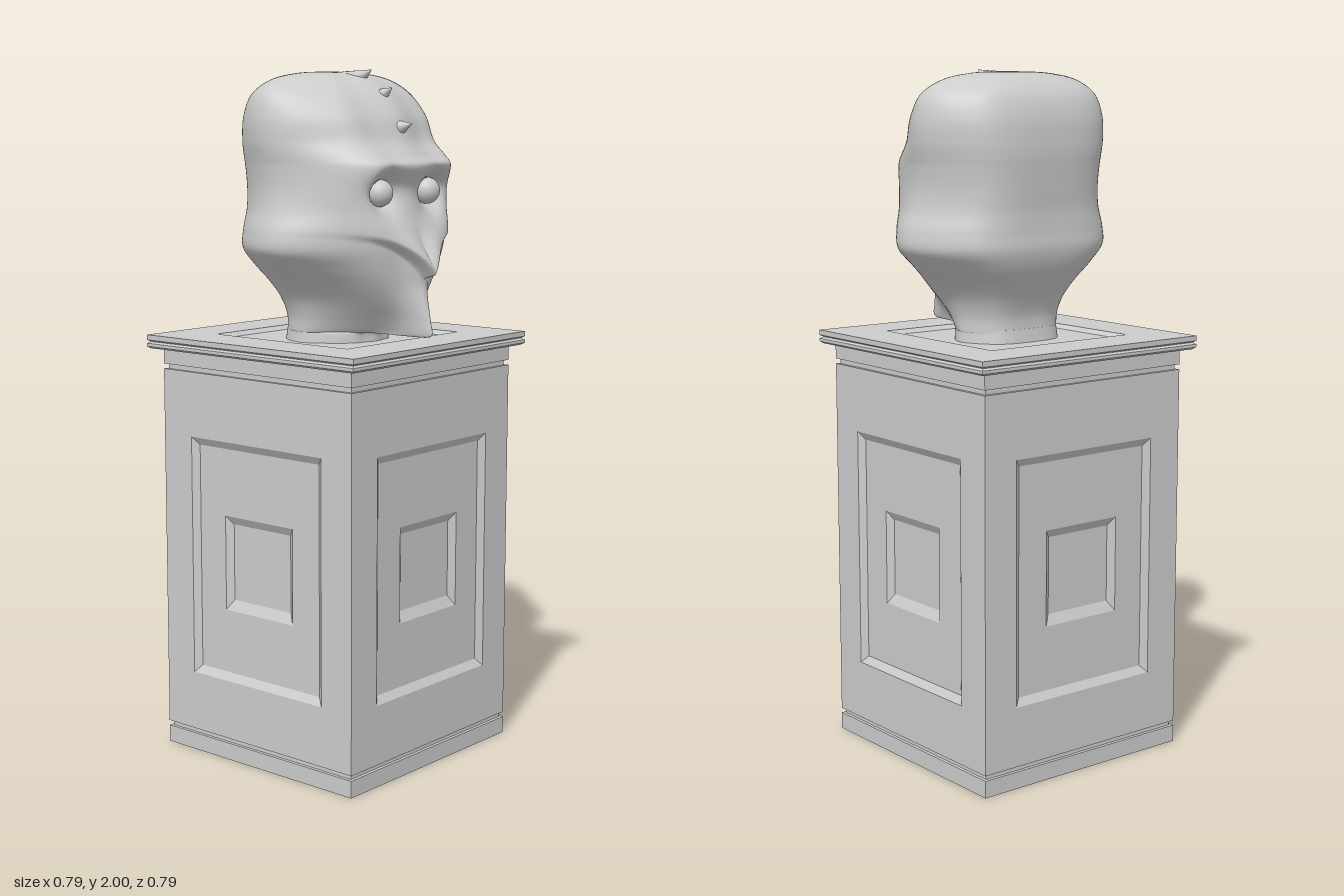
import * as THREE from 'three';

const stone = new THREE.MeshStandardMaterial({ color: 0xcccccc, flatShading: true, side: THREE.DoubleSide });
const smooth = new THREE.MeshStandardMaterial({ color: 0xcccccc });

function mesh(name, geometry, material) {
  const m = new THREE.Mesh(geometry, material);
  m.name = name;
  return m;
}

// Skin stacked loops of points (all the same length) with quads
function skin(loops) {
  const n = loops[0].length, pos = [], idx = [];
  loops.forEach(l => l.forEach(p => pos.push(p.x, p.y, p.z)));
  for (let i = 0; i < loops.length - 1; i++) {
    for (let j = 0; j < n; j++) {
      const a = i * n + j, b = i * n + (j + 1) % n;
      idx.push(a, b, b + n, a, b + n, a + n);
    }
  }
  const g = new THREE.BufferGeometry();
  g.setAttribute('position', new THREE.Float32BufferAttribute(pos, 3));
  g.setIndex(idx);
  g.computeVertexNormals();
  return g;
}

// Rectangular loops [halfWidth, bottom, top, depth] skinned into stepped panels or mouldings
function rectSkin(rects) {
  return skin(rects.map(([h, y0, y1, z]) =>
    [[-h, y0], [h, y0], [h, y1], [-h, y1]].map(([x, y]) => new THREE.Vector3(x, y, z))));
}

// Square moulding from a [halfWidth, height] profile
function moulding(name, profile) {
  const m = mesh(name, rectSkin(profile.map(([h, y]) => [h, -h, h, y])), stone);
  m.rotation.x = -Math.PI / 2;
  return m;
}

function createPedestal() {
  const g = new THREE.Group();
  g.name = 'pedestal';
  g.add(moulding('baseBand', [[0.34, 0.05], [0.34, 0], [0.36, 0], [0.36, 0.05], [0.35, 0.05], [0.35, 0.065], [0.36, 0.065]]));
  // Four walls with a recessed panel and a second recess in its middle
  const wall = rectSkin([
    [0.36, 0.065, 1.14, 0.36], [0.25, 0.24, 0.95, 0.36], [0.23, 0.262, 0.927, 0.345],
    [0.13, 0.45, 0.73, 0.345], [0.11, 0.48, 0.705, 0.33], [0, 0.59, 0.59, 0.33]]);
  for (let i = 0; i < 4; i++) {
    const w = mesh('panelledWall', wall, stone);
    w.rotation.y = i * Math.PI / 2;
    g.add(w);
  }
  // Neck groove, overhanging slab with a split edge, sunken top
  g.add(moulding('topSlab', [
    [0.36, 1.14], [0.35, 1.14], [0.35, 1.155], [0.36, 1.155], [0.36, 1.2], [0.386, 1.2], [0.394, 1.206],
    [0.394, 1.215], [0.386, 1.22], [0.394, 1.225], [0.394, 1.24], [0.25, 1.24], [0.235, 1.228], [0, 1.228]]));
  return g;
}

// Sections from neck to crown: [y, front z, face edge x, face edge z, half width, widest z, back z]
const SECTIONS = [
  [1.22, 0.145, 0.08, 0.125, 0.165, 0, -0.13],
  [1.255, 0.147, 0.08, 0.125, 0.16, 0, -0.125],
  [1.266, 0.17, 0.07, 0.13, 0.16, 0, -0.123],
  [1.258, 0.346, 0.04, 0.18, 0.162, 0, -0.121],
  [1.3, 0.342, 0.06, 0.21, 0.167, 0.01, -0.121],
  [1.35, 0.33, 0.09, 0.235, 0.185, 0.01, -0.138],
  [1.4, 0.318, 0.118, 0.25, 0.225, 0.02, -0.165],
  [1.45, 0.315, 0.145, 0.255, 0.282, 0.03, -0.192],
  [1.5, 0.308, 0.162, 0.26, 0.333, 0.035, -0.205],
  [1.55, 0.297, 0.17, 0.26, 0.332, 0.035, -0.203],
  [1.61, 0.28, 0.175, 0.26, 0.31, 0.025, -0.202],
  [1.67, 0.275, 0.18, 0.262, 0.3, 0.01, -0.207],
  [1.735, 0.304, 0.16, 0.288, 0.303, 0, -0.213],
  [1.76, 0.28, 0.165, 0.262, 0.308, 0, -0.215],
  [1.8, 0.25, 0.18, 0.21, 0.315, -0.005, -0.215],
  [1.87, 0.222, 0.185, 0.175, 0.315, -0.01, -0.208],
  [1.93, 0.175, 0.17, 0.13, 0.295, -0.01, -0.185],
  [1.97, 0.12, 0.14, 0.08, 0.235, -0.02, -0.143],
  [1.99, 0.05, 0.08, 0.03, 0.14, -0.02, -0.095],
  [1.996, -0.02, 0, -0.02, 0, -0.02, -0.02]];

const gauss = t => Math.exp(-t * t);
const EYE = { x: 0.106, y: 1.66, z: 0.242 };

// Eye sockets and the overhanging V of the upper beak
function sculptFace(p) {
  if (p.z < 0.1) return p;
  const ax = Math.abs(p.x);
  const socket = gauss(Math.hypot(ax - EYE.x, p.y - EYE.y) / 0.05);
  const above = p.y - (1.425 + 0.13 * (1 - Math.exp(-ax / 0.09)));
  const lip = THREE.MathUtils.smoothstep(above, -0.009, 0.009) * gauss(Math.max(above, 0) / 0.07) * gauss(ax / 0.15);
  p.z += 0.045 * lip - 0.06 * socket;
  return p;
}

function headGeometry() {
  const V = (x, y, z) => new THREE.Vector3(x, y, z);
  const rings = SECTIONS.map(([y, f, ex, ez, w, wz, b]) => {
    const half = [V(ex * 0.5, y, f * 0.55 + ez * 0.45), V(ex, y, ez), V(w, y, wz), V(w * 0.66, y, b * 0.84)];
    const mirror = half.map(p => V(-p.x, p.y, p.z)).reverse();
    return [V(0, y, f), ...half, V(0, y, b), ...mirror];
  });
  const columns = rings[0].map((_, j) => new THREE.CatmullRomCurve3(rings.map(r => r[j])));
  const loops = [], rows = 190, around = 180;
  for (let i = 0; i <= rows; i++) {
    const ring = new THREE.CatmullRomCurve3(columns.map(c => c.getPoint(i / rows)), true);
    loops.push(Array.from({ length: around }, (_, j) => sculptFace(ring.getPoint(j / around))));
  }
  return skin(loops);
}

function createHead() {
  const g = new THREE.Group();
  g.name = 'head';
  g.add(mesh('beakedHead', headGeometry(), smooth));
  for (const s of [-1, 1]) {
    const eye = mesh('eye', new THREE.SphereGeometry(0.038, 32, 20), smooth);
    eye.position.set(s * EYE.x, EYE.y, EYE.z);
    g.add(eye);
  }
  // Three crest spikes pointing forward: tip and root in the midplane
  const spikes = [[2.0, 0.125, 1.955, 0.035], [1.95, 0.2, 1.9, 0.115], [1.85, 0.272, 1.825, 0.18]];
  for (const [ty, tz, ry, rz] of spikes) {
    const tip = new THREE.Vector3(0, ty, tz), root = new THREE.Vector3(0, ry, rz);
    const dir = tip.clone().sub(root);
    const cone = new THREE.ConeGeometry(0.045, dir.length(), 20, 1, true);
    const spike = mesh('crestSpike', cone, smooth);
    spike.position.copy(tip).add(root).multiplyScalar(0.5);
    spike.quaternion.setFromUnitVectors(new THREE.Vector3(0, 1, 0), dir.normalize());
    g.add(spike);
  }
  g.position.x = 0.004;
  return g;
}

export function createModel() {
  const model = new THREE.Group();
  model.name = 'bustOnPedestal';
  model.add(createPedestal(), createHead());
  return model;
}
